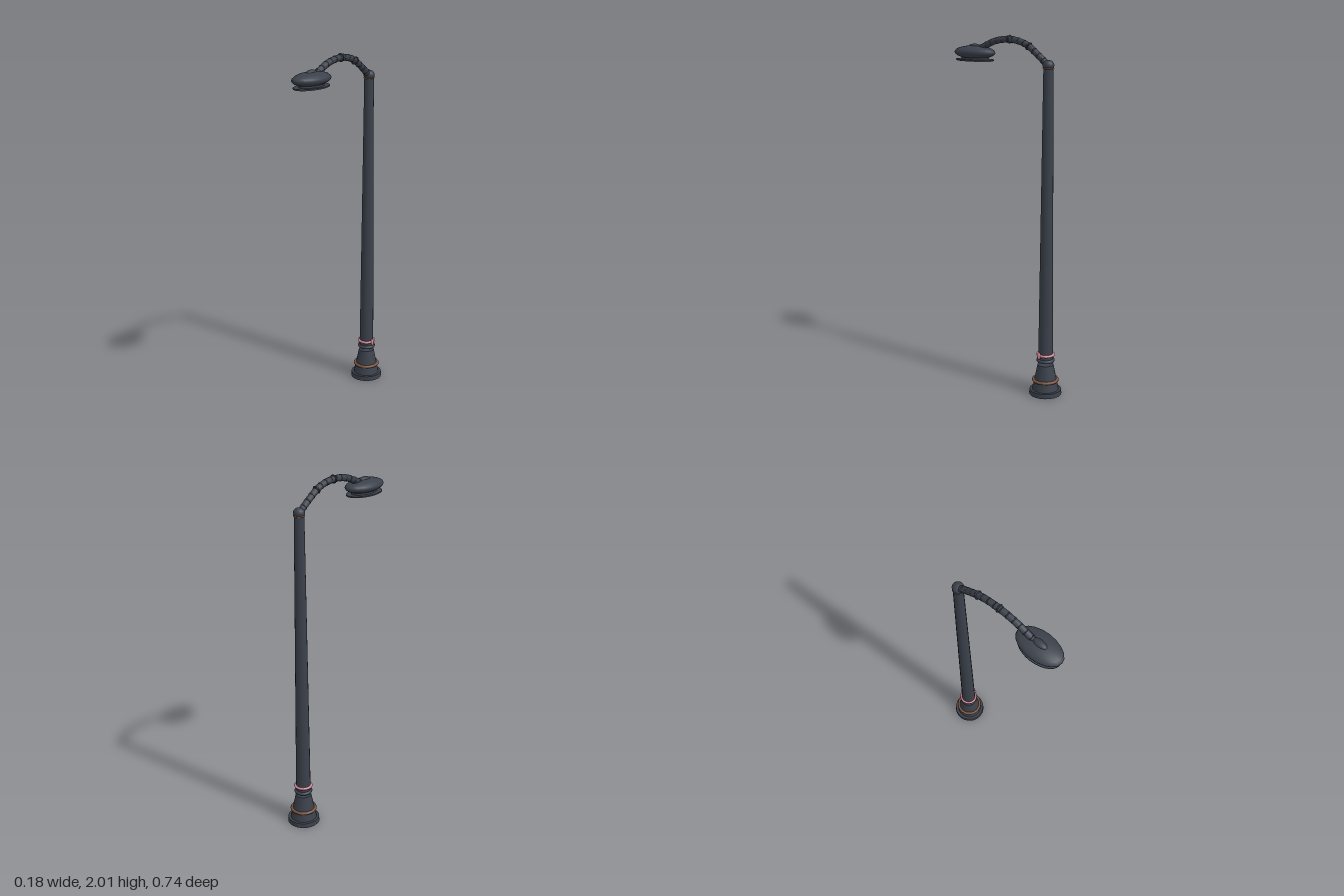
import * as THREE from 'three';

const iron = new THREE.MeshStandardMaterial({ color: 0x3b414b });
iron.name = 'dark iron';
const bronze = new THREE.MeshStandardMaterial({ color: 0x7a5440 });
bronze.name = 'bronze';
const pink = new THREE.MeshStandardMaterial({ color: 0xd48a9a });
pink.name = 'pink ribbon';
const amber = new THREE.MeshStandardMaterial({ color: 0x9c7c50 });
amber.name = 'amber lens';

const POLE_Z = -0.28;
const LAMP_Z = 0.233;

function add(parent, name, geometry, material, x = 0, y = 0, z = 0) {
  const mesh = new THREE.Mesh(geometry, material);
  mesh.name = name;
  mesh.position.set(x, y, z);
  parent.add(mesh);
  return mesh;
}

// Upright cylinder given by its bottom and top heights
function column(parent, name, rBottom, rTop, y0, y1, material = iron, sides = 18) {
  return add(parent, name, new THREE.CylinderGeometry(rTop, rBottom, y1 - y0, sides), material, 0, (y0 + y1) / 2);
}

// Horizontal ring around the pole
function ring(parent, name, radius, tube, y, material, sides = 24) {
  const mesh = add(parent, name, new THREE.TorusGeometry(radius, tube, 8, sides), material, 0, y);
  mesh.rotation.x = Math.PI / 2;
  return mesh;
}

function ellipsoid(parent, name, sx, sy, sz, material, x, y, z) {
  const mesh = add(parent, name, new THREE.SphereGeometry(1, 20, 12), material, x, y, z);
  mesh.scale.set(sx, sy, sz);
  return mesh;
}

function createPost() {
  const post = new THREE.Group();
  post.name = 'post';
  post.position.z = POLE_Z;

  // Stepped foot
  column(post, 'basePlate', 0.092, 0.09, 0, 0.027, iron, 20);
  column(post, 'flaredBase', 0.075, 0.045, 0.027, 0.175, iron);
  ring(post, 'baseRing', 0.068, 0.009, 0.083, bronze, 16);

  // Collar and shaft
  ring(post, 'lowerCollar', 0.042, 0.01, 0.2, iron);
  column(post, 'collarCore', 0.043, 0.041, 0.191, 0.222);
  column(post, 'shaft', 0.042, 0.027, 0.215, 1.845, iron, 16);

  // Tied ribbon
  ring(post, 'ribbon', 0.045, 0.008, 0.235, pink, 28);
  ellipsoid(post, 'ribbonKnot', 0.009, 0.021, 0.01, pink, 0.05, 0.235, 0.01);

  // Top joint
  ring(post, 'topRing', 0.026, 0.005, 1.84, bronze);
  ellipsoid(post, 'topJoint', 0.031, 0.028, 0.031, iron, 0, 1.855, 0);
  return post;
}

function createArm() {
  const arm = new THREE.Group();
  arm.name = 'arm';
  const curve = new THREE.CatmullRomCurve3([
    [1.855, -0.275], [1.91, -0.205], [1.96, -0.125], [1.981, -0.02],
    [1.968, 0.085], [1.925, 0.19],
  ].map(([y, z]) => new THREE.Vector3(0, y, z)));
  add(arm, 'armTube', new THREE.TubeGeometry(curve, 48, 0.018, 12), iron);

  // Ring set square to the arm
  const band = (name, t, radius, tube) => {
    const mesh = add(arm, name, new THREE.TorusGeometry(radius, tube, 6, 16), iron);
    mesh.position.copy(curve.getPointAt(t));
    mesh.quaternion.setFromUnitVectors(new THREE.Vector3(0, 0, 1), curve.getTangentAt(t));
  };
  for (let i = 1; i <= 13; i++) band('armBand', i / 13.3, 0.0165, 0.003);
  band('armCollar', 0.31, 0.02, 0.004);
  band('armCollar', 0.575, 0.02, 0.004);
  ellipsoid(arm, 'armTip', 0.018, 0.018, 0.012, iron, 0, 1.925, 0.186);
  return arm;
}

function createLamp() {
  const lamp = new THREE.Group();
  lamp.name = 'lamp';
  lamp.position.z = LAMP_Z;

  ellipsoid(lamp, 'lampHousing', 0.078, 0.037, 0.136, iron, 0, 1.901, 0);
  ellipsoid(lamp, 'lampCap', 0.021, 0.016, 0.042, iron, 0, 1.932, 0);

  // Oval rim with the lens set beneath it
  const oval = (name, width, length, y0, y1, material) => {
    const mesh = column(lamp, name, 1, 1, y0, y1, material, 28);
    mesh.scale.set(width, 1, length);
  };
  oval('lampRim', 0.073, 0.125, 1.856, 1.863, iron);
  oval('lampNeck', 0.05, 0.09, 1.862, 1.88, iron);
  oval('lens', 0.068, 0.118, 1.854, 1.858, amber);
  return lamp;
}

export function createModel() {
  const model = new THREE.Group();
  model.name = 'streetLamp';
  model.add(createPost(), createArm(), createLamp());
  return model;
}
